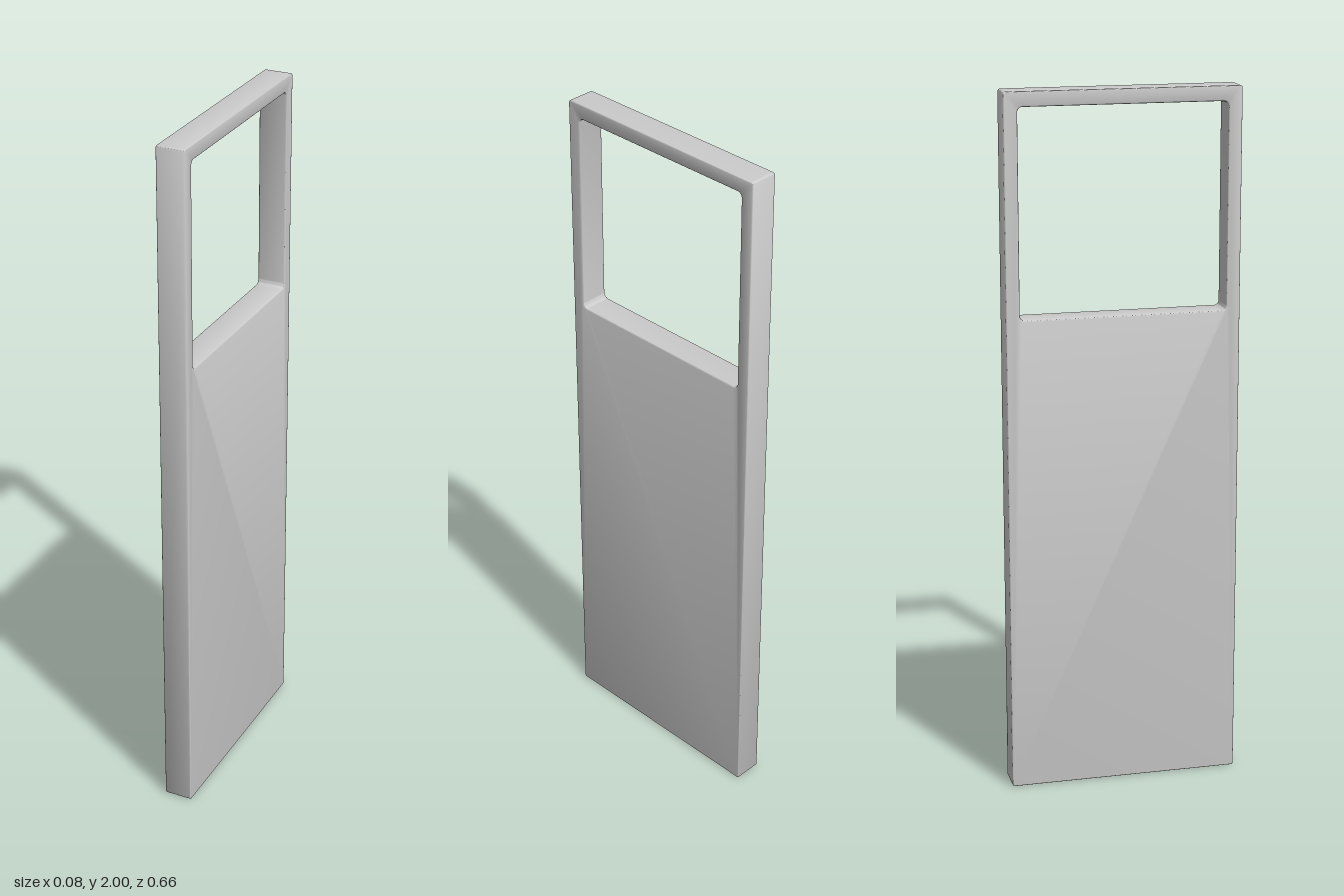
import * as THREE from 'three';
import { toCreasedNormals } from 'three/addons/utils/BufferGeometryUtils.js';

const WIDTH = 0.664, HEIGHT = 2, THICKNESS = 0.082, BEVEL = 0.004;

// Trace a rectangle with rounded corners onto a shape or path
function roundedRect(path, x0, y0, x1, y1, r) {
  path.moveTo(x0 + r, y0);
  path.lineTo(x1 - r, y0);
  path.absarc(x1 - r, y0 + r, r, -Math.PI / 2, 0);
  path.lineTo(x1, y1 - r);
  path.absarc(x1 - r, y1 - r, r, 0, Math.PI / 2);
  path.lineTo(x0 + r, y1);
  path.absarc(x0 + r, y1 - r, r, Math.PI / 2, Math.PI);
  path.lineTo(x0, y0 + r);
  path.absarc(x0 + r, y0 + r, r, Math.PI, Math.PI * 1.5);
  return path;
}

export function createModel() {
  const model = new THREE.Group();
  model.name = 'door';

  // Door outline with the window opening cut out; shape x runs along world z
  const outline = roundedRect(new THREE.Shape(), -WIDTH / 2, 0, WIDTH / 2, HEIGHT, 0.008);
  outline.holes.push(roundedRect(new THREE.Path(), -0.293, 1.377, 0.293, 1.958, 0.014));

  // Thin slab with softly eased edges
  const slab = new THREE.ExtrudeGeometry(outline, {
    depth: THICKNESS - 2 * BEVEL,
    curveSegments: 5,
    bevelEnabled: true,
    bevelThickness: BEVEL,
    bevelSize: BEVEL,
    bevelOffset: -BEVEL,
    bevelSegments: 3,
  });
  slab.translate(0, 0, -(THICKNESS - 2 * BEVEL) / 2);
  slab.rotateY(-Math.PI / 2);

  const door = new THREE.Mesh(
    toCreasedNormals(slab, Math.PI / 5),
    new THREE.MeshStandardMaterial({ color: 0xcccccc })
  );
  door.name = 'doorPanel';
  model.add(door);
  return model;
}
